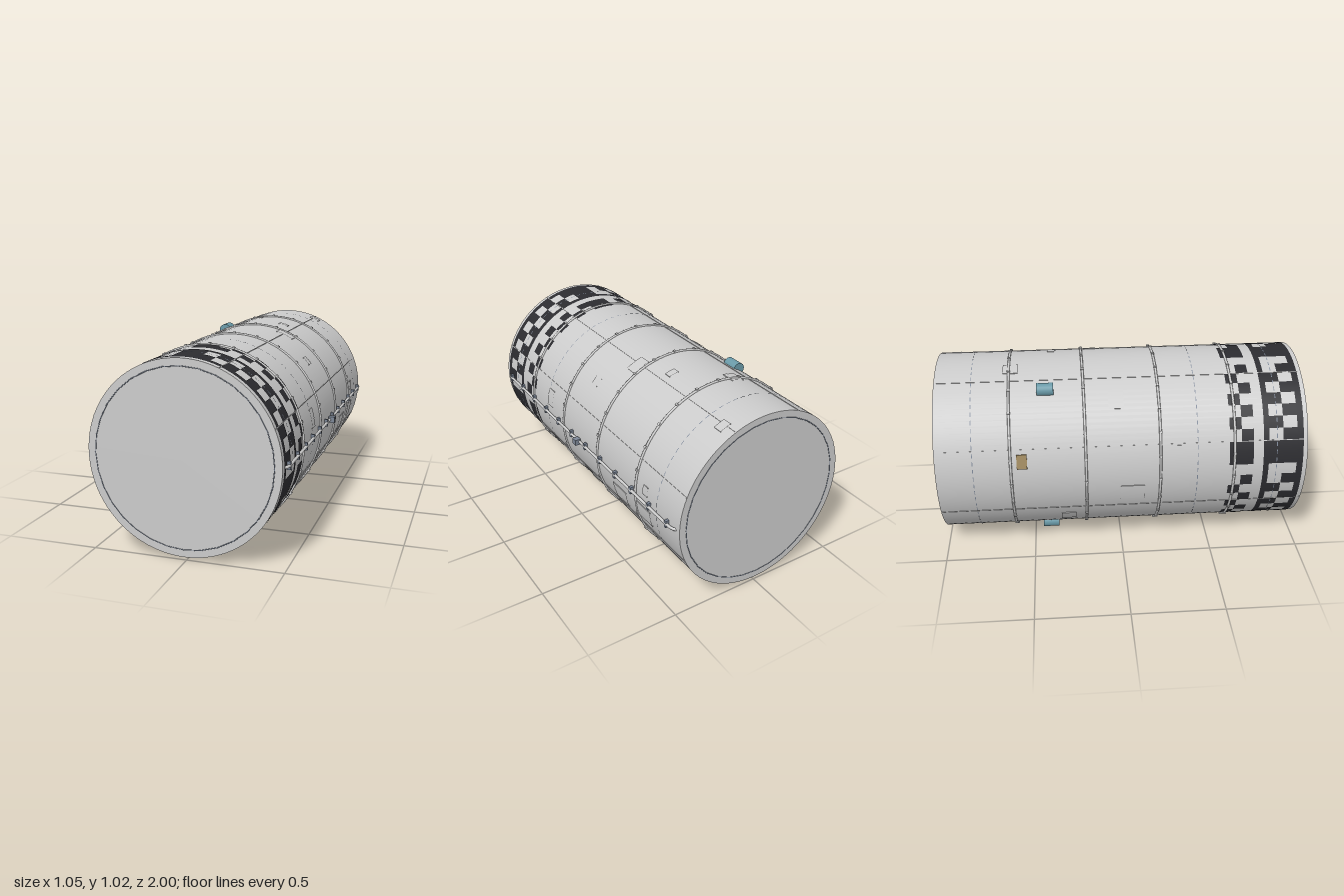
import * as THREE from 'three';
import { mergeGeometries } from 'three/addons/utils/BufferGeometryUtils.js';

const R = 0.498;
const rad = THREE.MathUtils.degToRad;
const paint = (color) => new THREE.MeshStandardMaterial({ color });
const grey = paint(0xcccccc), dark = paint(0x2c2c30), blue = paint(0x6a9aa8);
const steel = paint(0x7c8696), tan = paint(0xa08a60);

// Curved strip on the hull: a is its middle angle and da its span, in degrees from +x
function patch(r, a, da, z, len) {
  const seg = Math.max(1, Math.ceil(da / 3.75));
  const g = new THREE.CylinderGeometry(r, r, len, seg, 1, true, rad(a + 90 - da / 2), rad(da));
  return g.rotateX(Math.PI / 2).translate(0, 0, z);
}

// Places a geometry, built with +x pointing outwards, on the hull
const place = (g, r, a, z) => g.translate(r, 0, 0).rotateZ(rad(a)).translate(0, 0, z);

// Raised panel: curved top and four thin edge walls
function panel(a, z, width, len, h = 0.004) {
  const da = THREE.MathUtils.radToDeg(width / R);
  const parts = [patch(R + h, a, da, z, len)];
  for (const s of [-1, 1]) {
    parts.push(place(new THREE.BoxGeometry(0.008, 0.003, len), R, a + s * da / 2, z));
    parts.push(patch(R + h + 0.001, a, da, z + s * len / 2, 0.003));
  }
  return parts;
}

export function createModel() {
  const model = new THREE.Group();
  const hullGroup = new THREE.Group();
  hullGroup.name = 'hullAssembly';
  hullGroup.position.set(-0.014, 0.513, 0);
  model.add(hullGroup);
  const add = (name, parts, material) => {
    const mesh = new THREE.Mesh(Array.isArray(parts) ? mergeGeometries(parts) : parts, material);
    mesh.name = name;
    hullGroup.add(mesh);
  };

  // Main tube with closed ends
  add('hull', new THREE.CylinderGeometry(R, R, 1.996, 96).rotateX(Math.PI / 2), grey);

  // Thin ring on each end face
  add('endRings', [-1, 1].map((s) =>
    new THREE.TorusGeometry(0.46, 0.003, 6, 32).translate(0, 0, s * 0.997)), steel);

  // Hoops with rivets
  const hoops = [], rivets = [];
  for (const z of [-0.6, -0.2, 0.2, 0.6]) {
    hoops.push(new THREE.TorusGeometry(R + 0.002, 0.007, 8, 96).translate(0, 0, z));
    for (let a = 0; a < 360; a += 15) {
      rivets.push(place(new THREE.BoxGeometry(0.008, 0.012, 0.016), R + 0.009, a, z));
    }
  }
  add('hoops', hoops, grey);
  add('hoopRivets', rivets, grey);

  // Lengthwise seams and dashed seams around the hull
  const seams = [], dashes = [];
  for (let a = 22.5; a < 360; a += 45) {
    seams.push(place(new THREE.BoxGeometry(0.005, 0.004, 1.99), R, a, 0));
  }
  for (const z of [-0.8, 0.4, 0.83]) {
    for (let a = 0; a < 360; a += 5) dashes.push(patch(R + 0.003, a, 2.8, z, 0.004));
  }
  add('lengthwiseSeams', seams, grey);
  add('dashedSeams', dashes, steel);

  // Dark bands and chequered rows in 48 columns, with a few solid blocks
  const marks = [patch(R + 0.002, 0, 360, 0.957, 0.034), patch(R + 0.002, 0, 360, 0.772, 0.03)];
  const rows = [0.9025, 0.825, 0.67, 0.605];
  const solid = [11, 12, 21, 22, 31, 32, 45, 46], empty = [13, 23, 33, 47];
  rows.forEach((z, row) => {
    for (let col = 0; col < 48; col++) {
      const on = (col + row) % 2 === 0 || solid.includes(col);
      if (on && !empty.includes(col)) {
        marks.push(patch(R + 0.002, col * 7.5 + 3.75, 7.5, z, row < 2 ? 0.0775 : 0.065));
      }
    }
  });
  add('chequerMarkings', marks, dark);

  // Access panels: angle, z, width around the hull, length
  const panels = [
    [11, 0.375, 0.1, 0.06], [-14, -0.43, 0.09, 0.13], [-11, -0.67, 0.09, 0.13],
    [-39, 0.31, 0.1, 0.07], [-37, -0.03, 0.1, 0.07], [-54, -0.65, 0.05, 0.05],
    [7, -0.69, 0.05, 0.04], [42, 0.01, 0.05, 0.05], [66, -0.91, 0.06, 0.05],
    [102, -0.59, 0.07, 0.08], [75, -0.37, 0.055, 0.04], [66, -0.15, 0.1, 0.07],
    [128, -0.03, 0.11, 0.08], [162, 0.3, 0.06, 0.05], [190, 0.05, 0.09, 0.13],
    [215, -0.3, 0.08, 0.08], [250, 0.1, 0.08, 0.07], [285, -0.3, 0.06, 0.06],
  ];
  add('accessPanels', panels.flatMap((p) => panel(...p)), grey);

  // Side pipe with bent ends, clamps and a junction box
  const path = new THREE.CurvePath();
  const pts = [[R - 0.01, 0.965], [R + 0.013, 0.94], [R + 0.013, -0.945], [R - 0.01, -0.97]]
    .map(([x, z]) => new THREE.Vector3(x, 0, z));
  for (let i = 0; i < 3; i++) path.add(new THREE.LineCurve3(pts[i], pts[i + 1]));
  add('sidePipe', new THREE.TubeGeometry(path, 80, 0.008, 10, false), grey);
  const clamps = [];
  for (let i = 0; i < 12; i++) {
    clamps.push(place(new THREE.BoxGeometry(0.026, 0.04, 0.016), R + 0.006, 0, 0.915 - i * 0.165));
  }
  add('pipeClamps', clamps, steel);
  add('junctionBox', place(new THREE.BoxGeometry(0.034, 0.034, 0.036), R + 0.024, 0, 0), steel);

  // Rounded pods, one above and one below
  add('pods', [-1, 1].map((s) => new THREE.CylinderGeometry(0.035, 0.035, 0.09, 24)
    .rotateX(Math.PI / 2).translate(-0.251, s * 0.435, -0.405)), blue);

  // Small tan plates on the side and the underside
  add('tanPlates', [place(new THREE.BoxGeometry(0.012, 0.08, 0.055), R, 165, -0.54),
    place(new THREE.BoxGeometry(0.012, 0.07, 0.055), R, 270, 0.39)], tan);

  return model;
}
